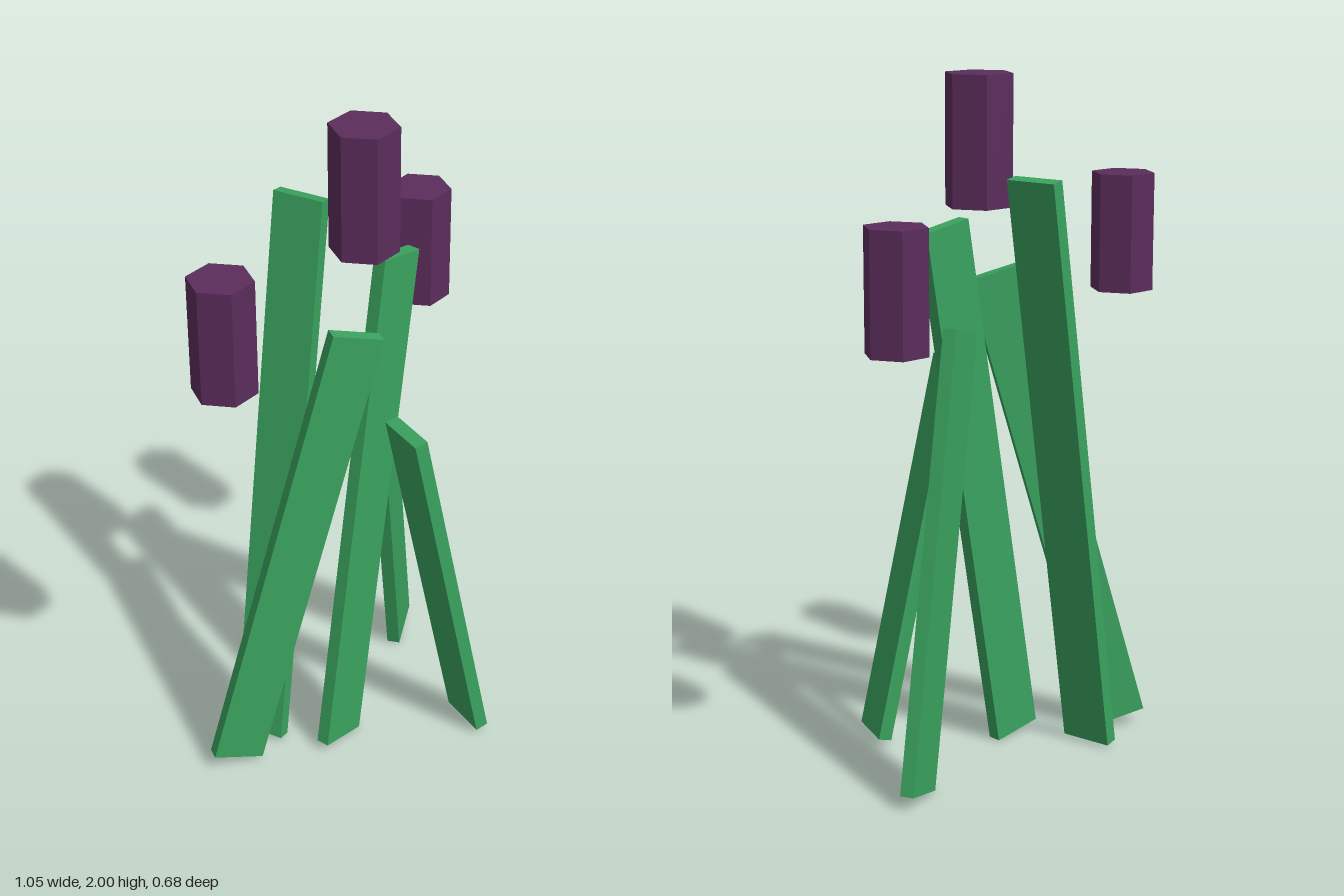
import * as THREE from 'three';

const green = new THREE.MeshStandardMaterial({ color: 0x3aa35f, flatShading: true });
green.name = 'leafGreen';
const purple = new THREE.MeshStandardMaterial({ color: 0x5b2d5b, flatShading: true });
purple.name = 'blossomPurple';

const WIDE = 0.157, THIN = 0.04;

// Flat blades: centre, length, yaw and lean in degrees;
// edgeOn blades lean across their thin side instead of their wide side
const blades = [
  { name: 'middleBlade', at: [-0.003, 0.8, -0.002], length: 1.59, yaw: 0, lean: -10 },
  { name: 'rightBlade', at: [-0.248, 0.73, -0.076], length: 1.445, yaw: -30, lean: -15.9 },
  { name: 'leftBlade', at: [0.26, 0.657, -0.12], length: 1.303, yaw: 25, lean: 14 },
  { name: 'frontBlade', at: [0.07, 0.585, 0.215], length: 1.157, yaw: -20, lean: 12.1, edgeOn: true },
  { name: 'backBlade', at: [-0.117, 0.87, -0.232], length: 1.735, yaw: 10, lean: -10, edgeOn: true },
];

// Upright hexagonal blossoms: centre x and z, bottom, top and radius
const blossoms = [
  { name: 'middleBlossom', x: 0.027, z: -0.032, bottom: 1.63, top: 2.0, radius: 0.099 },
  { name: 'rightBlossom', x: -0.435, z: -0.146, bottom: 1.355, top: 1.697, radius: 0.093 },
  { name: 'leftBlossom', x: 0.43, z: -0.146, bottom: 1.28, top: 1.627, radius: 0.092 },
];

function makeBlade({ name, at, length, yaw, lean, edgeOn }) {
  const geometry = edgeOn
    ? new THREE.BoxGeometry(THIN, length, WIDE)
    : new THREE.BoxGeometry(WIDE, length, THIN);
  const blade = new THREE.Mesh(geometry, green);
  blade.name = name;
  blade.position.set(...at);
  // Lean first, then turn about the vertical
  blade.rotation.set(0, THREE.MathUtils.degToRad(yaw), THREE.MathUtils.degToRad(lean));
  return blade;
}

function makeBlossom({ name, x, z, bottom, top, radius }) {
  const geometry = new THREE.CylinderGeometry(radius, radius, top - bottom, 6, 1, false, Math.PI / 6);
  const blossom = new THREE.Mesh(geometry, purple);
  blossom.name = name;
  blossom.position.set(x, (bottom + top) / 2, z);
  return blossom;
}

export function createModel() {
  const model = new THREE.Group();
  model.name = 'floweringPlant';
  for (const spec of blades) model.add(makeBlade(spec));
  for (const spec of blossoms) model.add(makeBlossom(spec));
  return model;
}
